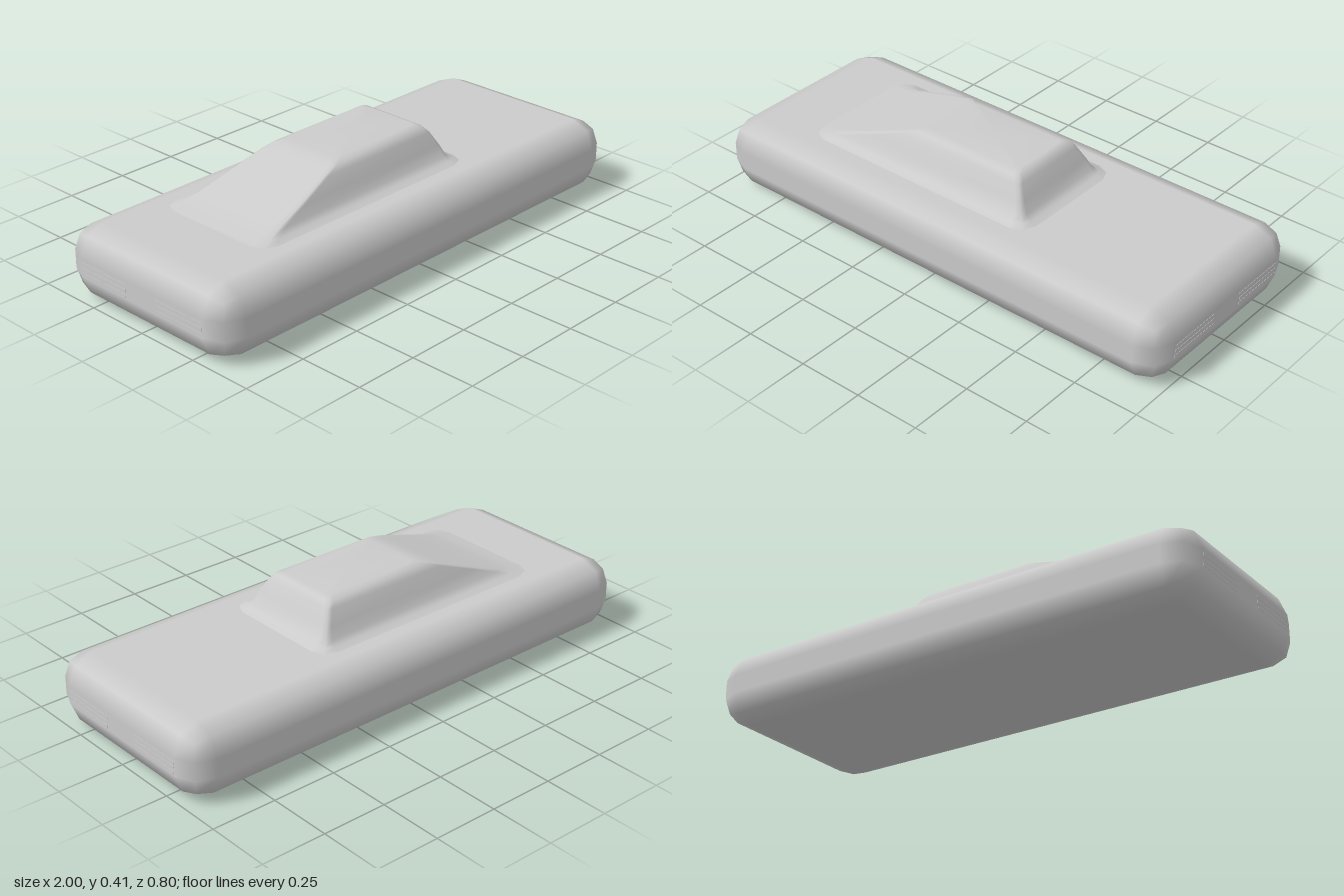
import * as THREE from 'three';
import { RoundedBoxGeometry } from 'three/addons/geometries/RoundedBoxGeometry.js';

const material = new THREE.MeshStandardMaterial({ color: 0xcccccc });

function addMesh(parent, name, geometry, x = 0, y = 0, z = 0) {
  const mesh = new THREE.Mesh(geometry, material);
  mesh.name = name;
  mesh.position.set(x, y, z);
  parent.add(mesh);
  return mesh;
}

// Loft of rounded rectangles stacked in height, closed by a flat roof
function cabinGeometry() {
  // height, rear x, front x, half width, corner radius
  const levels = [
    [0.268, -0.69, 0.34, 0.26, 0.07],
    [0.279, -0.63, 0.308, 0.23, 0.045],
    [0.295, -0.57, 0.287, 0.21, 0.03],
    [0.335, -0.45, 0.266, 0.191, 0.022],
    [0.385, -0.31, 0.239, 0.166, 0.02],
    [0.405, -0.25, 0.222, 0.15, 0.02],
    [0.414, -0.2, 0.2, 0.12, 0.02],
  ];
  const arcSteps = 2;
  const count = 4 * (arcSteps + 1);
  const positions = [];
  const indices = [];
  for (const [y, rear, front, half, r] of levels) {
    for (let corner = 0; corner < 4; corner++) {
      const cx = corner === 0 || corner === 3 ? front - r : rear + r;
      const cz = corner < 2 ? -(half - r) : half - r;
      for (let s = 0; s <= arcSteps; s++) {
        const a = (corner + s / arcSteps) * Math.PI / 2;
        positions.push(cx + r * Math.cos(a), y, cz - r * Math.sin(a));
      }
    }
  }
  for (let l = 0; l < levels.length - 1; l++) {
    for (let i = 0; i < count; i++) {
      const a = l * count + i;
      const b = l * count + (i + 1) % count;
      indices.push(a, b, b + count, a, b + count, a + count);
    }
  }
  const centre = positions.length / 3;
  const top = (levels.length - 1) * count;
  positions.push(0, levels[levels.length - 1][0], 0);
  for (let i = 0; i < count; i++) indices.push(centre, top + i, top + (i + 1) % count);

  const geometry = new THREE.BufferGeometry();
  geometry.setAttribute('position', new THREE.Float32BufferAttribute(positions, 3));
  geometry.setIndex(indices);
  geometry.computeVertexNormals();
  return geometry;
}

export function createModel() {
  const model = new THREE.Group();
  model.name = 'car';

  // Slab body with coarse rounded edges
  addMesh(model, 'body', new RoundedBoxGeometry(1.998, 0.27, 0.8, 1, 0.1), 0, 0.135, 0);

  // Cabin with a long sloping rear and a steep front
  addMesh(model, 'cabin', cabinGeometry());

  // Two sets of three slats on each end
  const slat = new THREE.BoxGeometry(0.01, 0.012, 0.222);
  for (const end of [1, -1]) {
    for (const side of [1, -1]) {
      const grille = new THREE.Group();
      grille.name = `${end > 0 ? 'front' : 'rear'}Grille${side > 0 ? 'A' : 'B'}`;
      for (let i = 0; i < 3; i++) {
        addMesh(grille, 'slat', slat, end * 0.995, 0.111 + i * 0.019, side * 0.186);
      }
      model.add(grille);
    }
  }
  return model;
}
